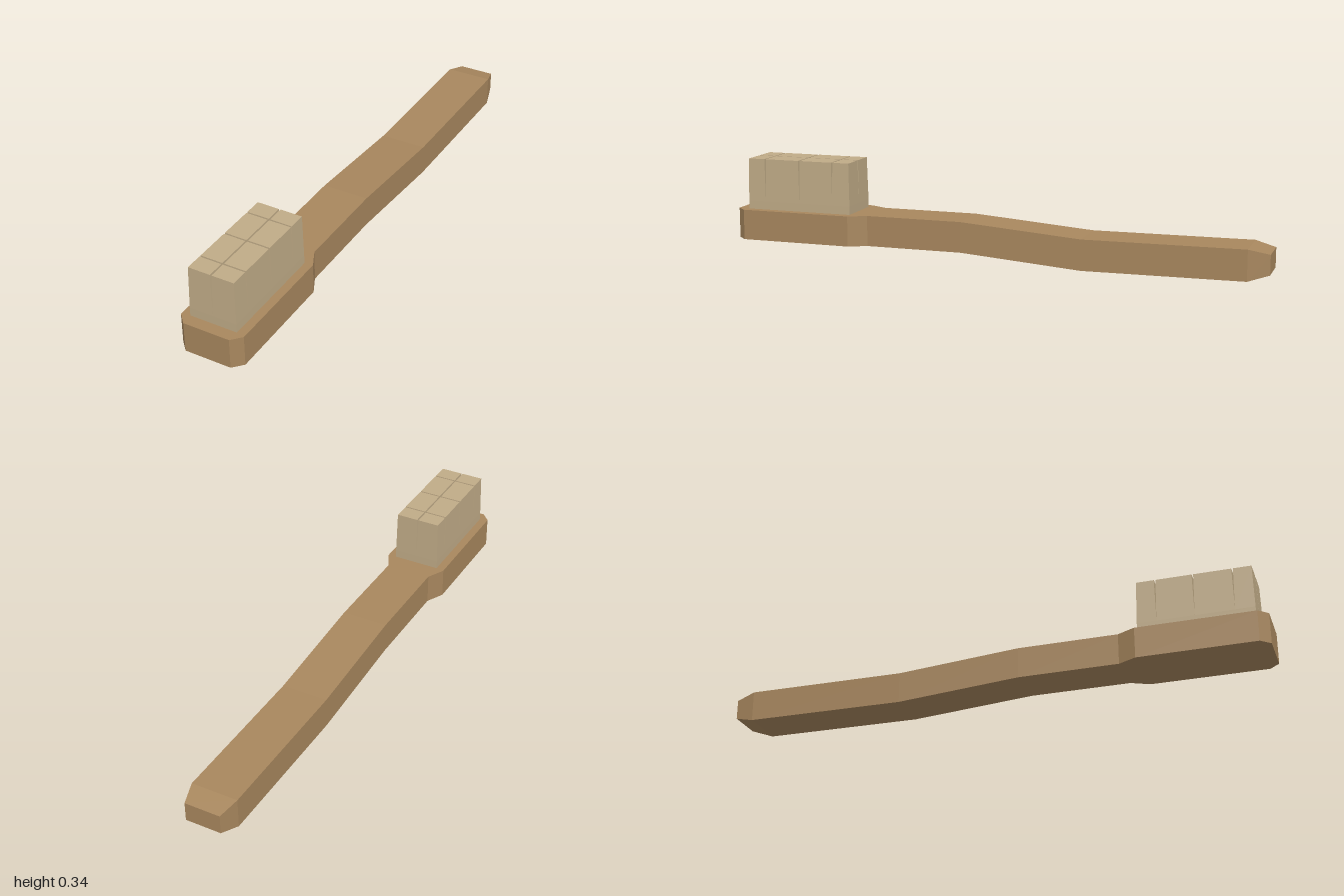
import * as THREE from 'three';

const handleMaterial = new THREE.MeshStandardMaterial({ color: 0xa8875e, flatShading: true });
handleMaterial.name = 'brown wood';
const bristleMaterial = new THREE.MeshStandardMaterial({ color: 0xc0ab87, flatShading: true });
bristleMaterial.name = 'pale bristle';

// Moves every vertex of a geometry by a rule that edits the vector.
function reshape(geometry, rule) {
  const p = geometry.attributes.position;
  const v = new THREE.Vector3();
  for (let i = 0; i < p.count; i++) {
    rule(v.fromBufferAttribute(p, i));
    p.setXYZ(i, v.x, v.y, v.z);
  }
  geometry.computeVertexNormals();
  return geometry;
}

function addMesh(parent, name, geometry, material) {
  const mesh = new THREE.Mesh(geometry, material);
  mesh.name = name;
  parent.add(mesh);
}

// Handle and head cross-sections, back to front: z, half width, bottom, top
const sections = [
  [-1, 0.066, 0.028, 0.1],
  [-0.925, 0.086, 0.005, 0.117],
  [-0.34, 0.086, 0, 0.113],
  [0.11, 0.086, 0.034, 0.147],
  [0.475, 0.086, 0.034, 0.147],
  [0.54, 0.119, 0.034, 0.147],
  [0.965, 0.119, 0.034, 0.147],
  [1, 0.086, 0.034, 0.147],
];

function makeHandle() {
  const spans = sections.length - 1;
  return reshape(new THREE.BoxGeometry(2, 2, spans, 1, 1, spans), (v) => {
    const [z, half, bottom, top] = sections[Math.round(v.z + spans / 2)];
    v.set(Math.sign(v.x) * half, v.y > 0 ? top : bottom, z);
  });
}

// A tuft narrows slightly toward its top, leaving V-shaped slits
function makeTuft(x0, x1, z0, z1, bottom, top, inset) {
  return reshape(new THREE.BoxGeometry(2, 2, 2), (v) => {
    const d = v.y > 0 ? inset : 0;
    v.set(v.x > 0 ? x1 - d : x0 + d, v.y > 0 ? top : bottom, v.z > 0 ? z1 - d : z0 + d);
  });
}

export function createModel() {
  const model = new THREE.Group();
  model.name = 'toothbrush';
  addMesh(model, 'handle', makeHandle(), handleMaterial);

  // Bristles: a solid base with two rows of four tufts
  const bristles = new THREE.Group();
  bristles.name = 'bristles';
  model.add(bristles);
  const zs = [0.544, 0.614, 0.748, 0.887, 0.957];
  const xs = [-0.088, 0, 0.088];
  addMesh(bristles, 'bristleBase', makeTuft(-0.088, 0.088, 0.544, 0.957, 0.14, 0.178, 0), bristleMaterial);
  for (let i = 0; i < 2; i++) {
    for (let j = 0; j < 4; j++) {
      const tuft = makeTuft(xs[i], xs[i + 1], zs[j], zs[j + 1], 0.178, 0.338, 0.003);
      addMesh(bristles, 'tuft', tuft, bristleMaterial);
    }
  }
  return model;
}
